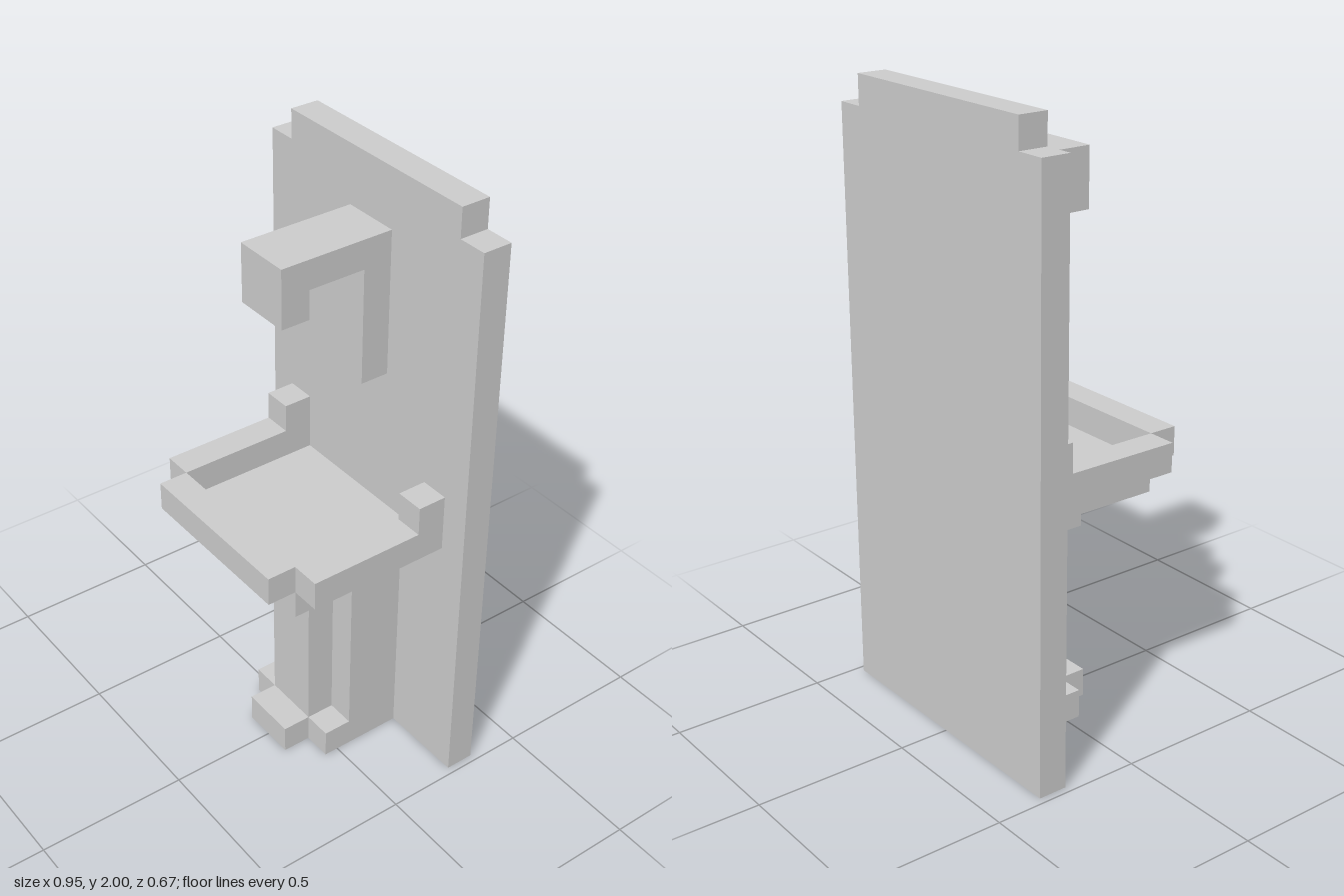
import * as THREE from 'three';

const U = 2 / 21; // one block
const material = new THREE.MeshStandardMaterial({ color: 0xcccccc, flatShading: true });

const extrude = (points, depth) => new THREE.ExtrudeGeometry(
  new THREE.Shape(points.map(([a, b]) => new THREE.Vector2(a, b))),
  { depth, bevelEnabled: false });

// Outline in (x, y), running from z0 to z1
const alongZ = (points, z0, z1) => extrude(points, z1 - z0).translate(0, 0, z0);

// Profile in (z, y), running from x0 to x1
const alongX = (points, x0, x1) =>
  extrude(points, x1 - x0).rotateY(-Math.PI / 2).translate(x1, 0, 0);

// Footprint in (x, z), running from y0 to y1
const alongY = (points, y0, y1) =>
  extrude(points, y1 - y0).rotateX(Math.PI / 2).translate(0, y1, 0);

const box = (x0, x1, y0, y1, z0, z1) =>
  new THREE.BoxGeometry(x1 - x0, y1 - y0, z1 - z0)
    .translate((x0 + x1) / 2, (y0 + y1) / 2, (z0 + z1) / 2);

// Half outline on +x, mirrored to a closed one
const mirrored = (half) => [...half, ...half.map(([x, v]) => [-x, v]).reverse()];

export function createModel() {
  const model = new THREE.Group();
  model.name = 'wallBasin';
  const add = (name, geometry) => {
    const mesh = new THREE.Mesh(geometry.scale(U, U, U), material);
    mesh.name = name;
    model.add(mesh);
  };

  // Back panel with notched top corners
  add('backPanel', alongZ(mirrored([[5, 0], [5, 20], [4, 20], [4, 21]]), -3.5, -2.5));

  // Hooked spout
  add('spout', alongX([[-2.5, 14], [-1.5, 14], [-1.5, 18], [0.5, 18],
    [0.5, 17], [1.5, 17], [1.5, 19], [-2.5, 19]], -1, 1));

  // Basin: floor, front rim, side rims with raised taps at the wall
  add('basinFloor', box(-3, 3, 8, 9, -2.5, 2.5));
  add('frontRim', box(-3, 3, 9, 10, 2.5, 3.5));
  const sideRim = [[-2.5, 9], [2.5, 9], [2.5, 10], [-1.5, 10], [-1.5, 11], [-2.5, 11]];
  add('leftRim', alongX(sideRim, 3, 4));
  add('rightRim', alongX(sideRim, -4, -3));

  // Pedestal: stepped foot, ribbed shaft, square cap
  add('pedestalFoot', alongY(mirrored([[2, -2.5], [2, 0.5], [1, 0.5], [1, 1.5]]), 0, 1));
  add('pedestalShaft', alongY(mirrored([[2, -2.5], [2, -0.5], [1, -0.5], [1, 0.5]]), 1, 7));
  add('pedestalCap', box(-2, 2, 7, 8, -2.5, 0.5));

  return model;
}
